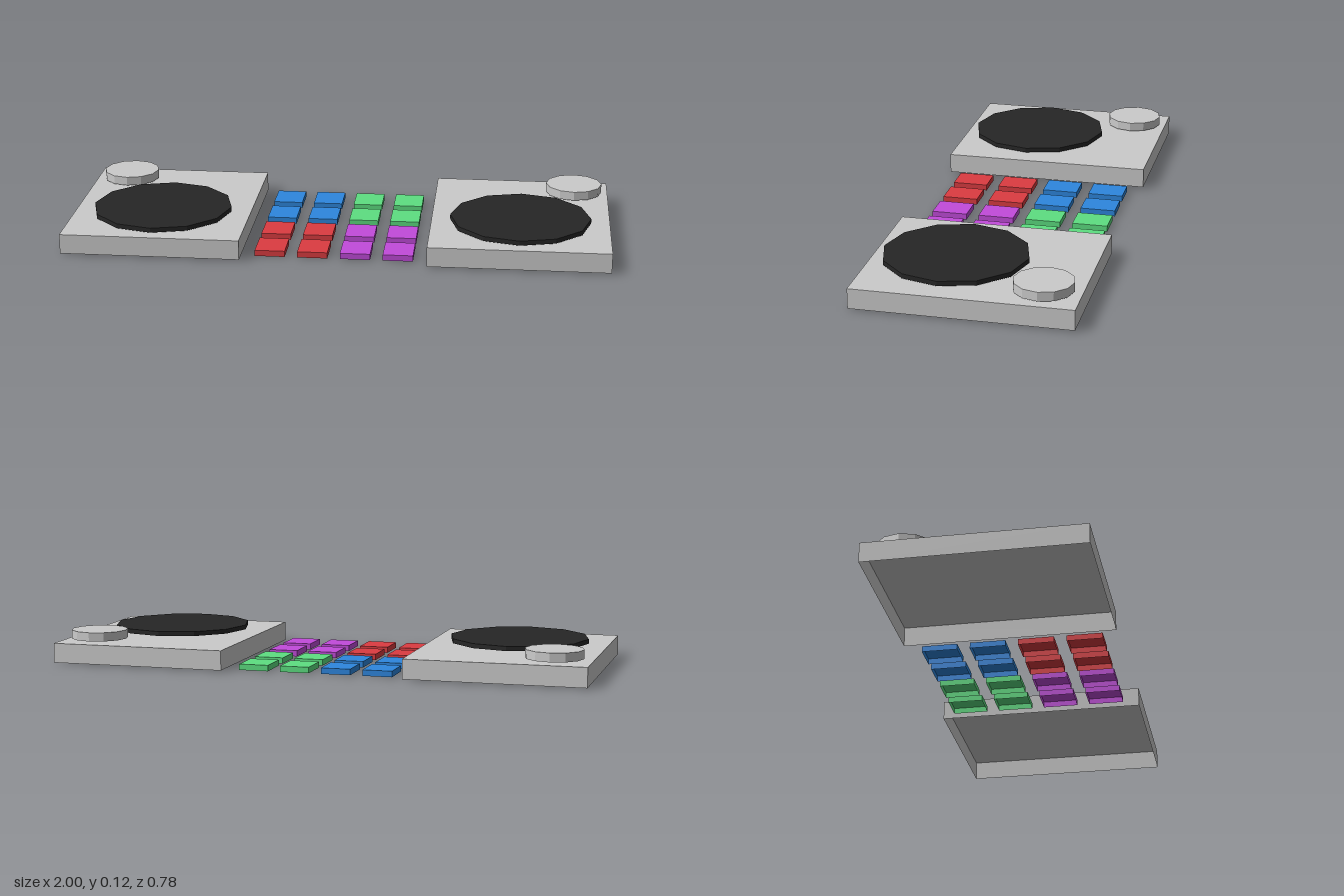
import * as THREE from 'three';

const material = (color) =>
  new THREE.MeshStandardMaterial({ color, flatShading: true, side: THREE.DoubleSide });

const GREY = material(0xcccccc);
const BLACK = material(0x262626);
const BLUE = material(0x2d87de);
const GREEN = material(0x5dde81);
const RED = material(0xdc3c41);
const PURPLE = material(0xc24bdb);

// Remove a run of triangle indices, leaving that face open
function openFace(geometry, start, count) {
  const index = Array.from(geometry.index.array);
  index.splice(start, count);
  geometry.setIndex(index);
  geometry.clearGroups();
  return geometry;
}

// Thin box shell with no floor, standing on its own y = 0
function boxShell(w, h, d) {
  return openFace(new THREE.BoxGeometry(w, h, d), 18, 6).translate(0, h / 2, 0);
}

// Twelve-sided disc shell with no floor, standing on its own y = 0
function discShell(radius, h, sides = 12) {
  const g = new THREE.CylinderGeometry(radius, radius, h, sides);
  return openFace(g, g.index.count - sides * 3, sides * 3).translate(0, h / 2, 0);
}

function addPart(parent, name, geometry, mat, x, y, z) {
  const mesh = new THREE.Mesh(geometry, mat);
  mesh.name = name;
  mesh.position.set(x, y, z);
  parent.add(mesh);
}

export function createModel() {
  const model = new THREE.Group();
  model.name = 'turntableController';

  // Two decks, each with a platter and a knob in the outer back corner
  const body = boxShell(0.66, 0.073, 0.78);
  const platter = discShell(0.26, 0.017);
  const knob = discShell(0.106, 0.033);
  const knobSpots = { left: [0.87, -0.257], right: [-0.863, -0.263] };
  for (const [side, s] of [['left', 1], ['right', -1]]) {
    const deck = new THREE.Group();
    deck.name = `${side}Deck`;
    const [kx, kz] = knobSpots[side];
    addPart(deck, 'deckBody', body, GREY, s * 0.67, 0.004, 0);
    addPart(deck, 'platter', platter, BLACK, s * 0.67, 0.085, 0.098);
    addPart(deck, 'knob', knob, GREY, kx, 0.085, kz);
    model.add(deck);
  }

  // Four by four grid of pads, one colour per quarter
  const pads = new THREE.Group();
  pads.name = 'pads';
  const pad = boxShell(0.11, 0.022, 0.132);
  for (let row = 0; row < 4; row++) {
    for (let col = 0; col < 4; col++) {
      const mat = row < 2 ? (col < 2 ? BLUE : GREEN) : (col < 2 ? RED : PURPLE);
      addPart(pads, 'pad', pad, mat, -0.235 + col * 0.156, 0, -0.269 + row * 0.179);
    }
  }
  model.add(pads);
  return model;
}
